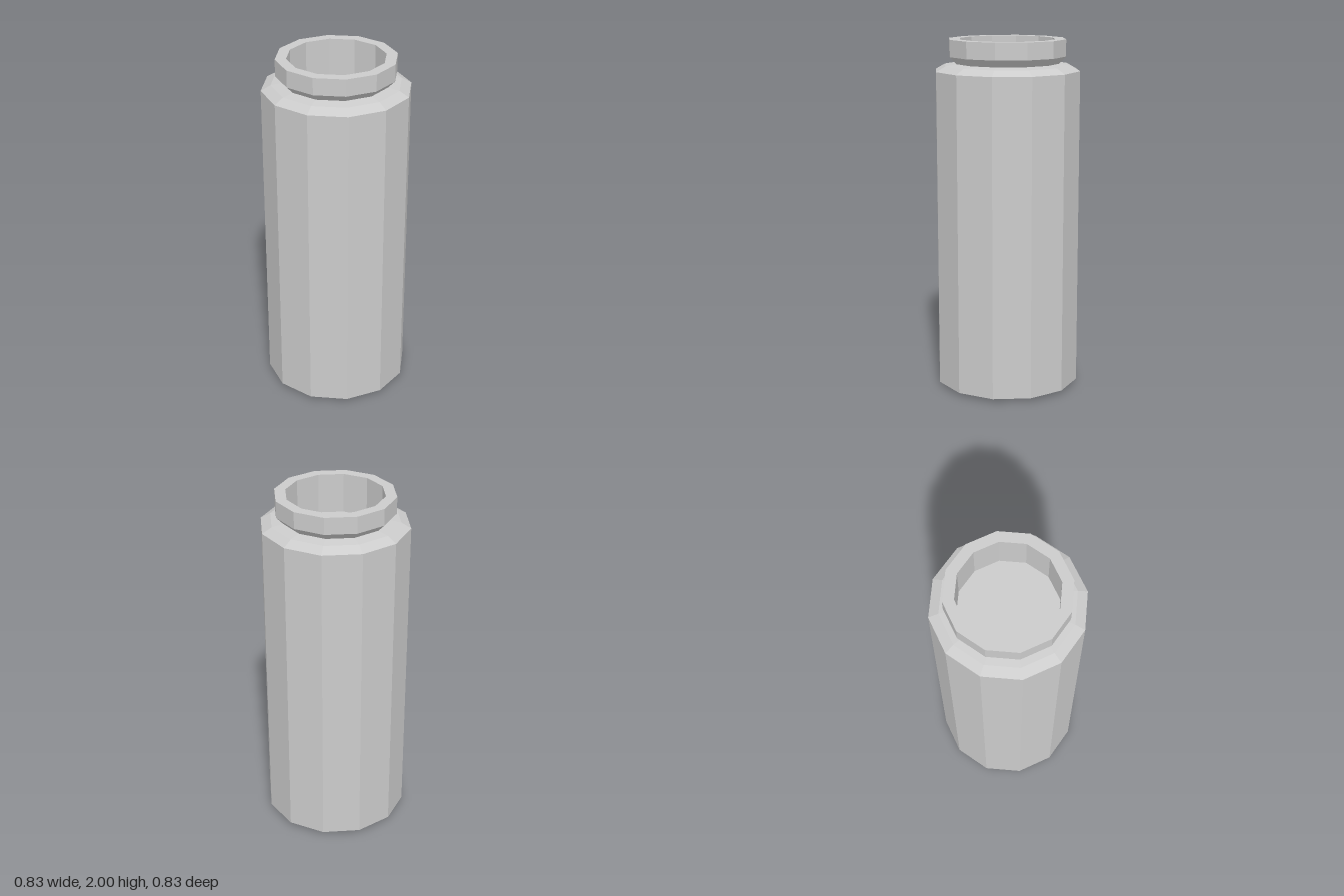
import * as THREE from 'three';

const SIDES = 12;

export function createModel() {
  const model = new THREE.Group();
  model.name = 'canister';
  const material = new THREE.MeshStandardMaterial({ color: 0xcccccc, flatShading: true });

  // Turns a [radius, height] profile into a faceted solid
  const turn = (name, profile) => {
    const points = profile.map(([r, y]) => new THREE.Vector2(r, y));
    const mesh = new THREE.Mesh(new THREE.LatheGeometry(points, SIDES), material);
    mesh.name = name;
    model.add(mesh);
  };

  // Body: chamfered base, straight wall, sloping shoulder
  turn('body', [
    [0, 0], [0.36, 0], [0.414, 0.018], [0.414, 1.825], [0.36, 1.855], [0.295, 1.865],
  ]);

  // Neck: flared collar, flat rim and the recessed opening with its floor
  turn('neck', [
    [0.295, 1.865], [0.334, 1.905], [0.334, 2], [0.273, 2], [0.273, 1.775], [0, 1.775],
  ]);

  return model;
}
